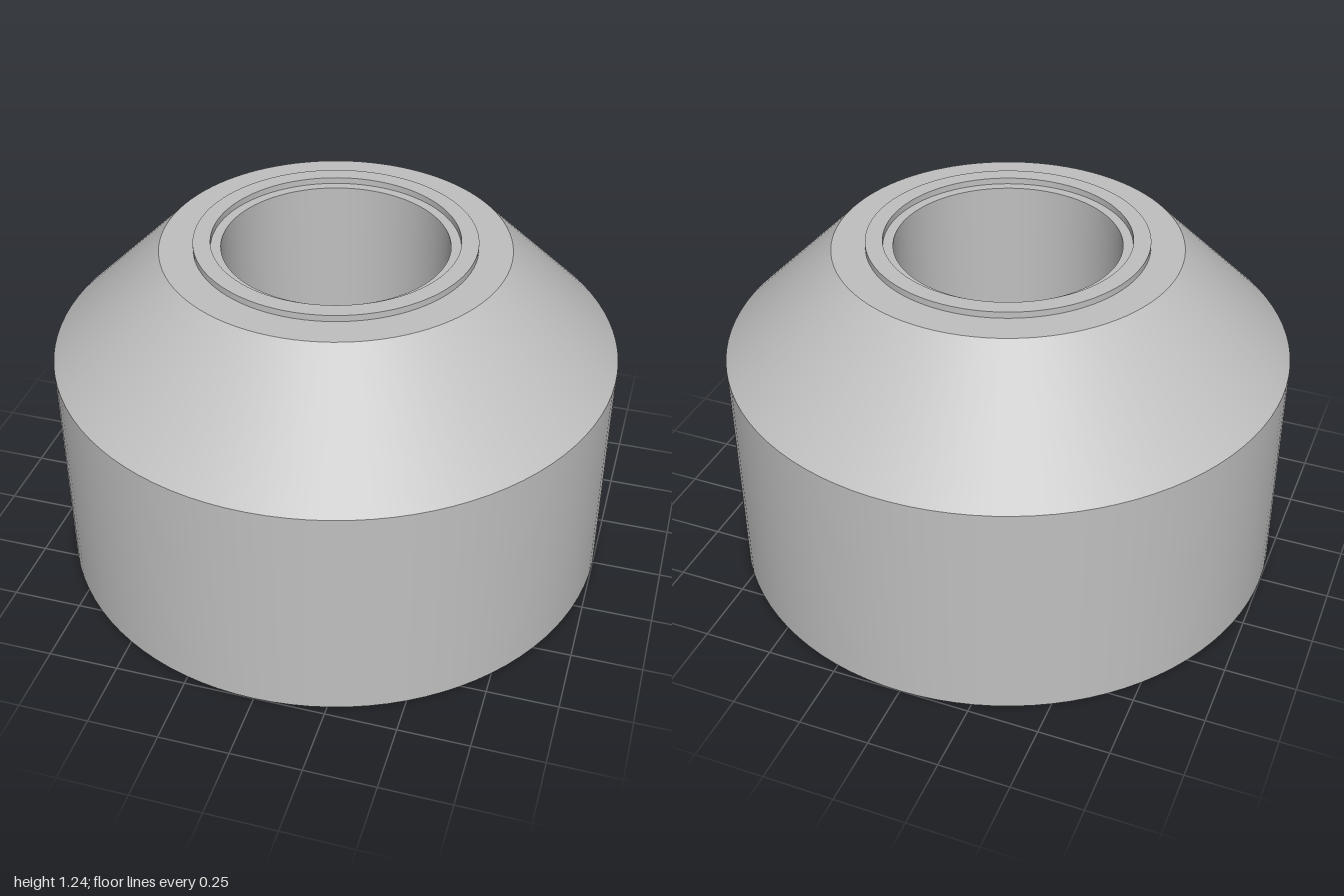
import * as THREE from 'three';
import { mergeGeometries } from 'three/addons/utils/BufferGeometryUtils.js';

const SIDES = 96;

// Revolve each straight stretch of a profile on its own, so corners stay sharp.
function turned(profile, sides) {
  const parts = [];
  for (let i = 0; i < profile.length - 1; i++) {
    const pts = [profile[i], profile[i + 1]].map(([r, y]) => new THREE.Vector2(r, y));
    parts.push(new THREE.LatheGeometry(pts, sides));
  }
  return mergeGeometries(parts);
}

export function createModel() {
  const group = new THREE.Group();
  const grey = new THREE.MeshStandardMaterial({ color: 0xc0c0c0 });
  grey.name = 'plain grey';

  const add = (name, geometry) => {
    const mesh = new THREE.Mesh(geometry, grey);
    mesh.name = name;
    group.add(mesh);
    return mesh;
  };

  const topY = 1.217, lipY = 1.24, boreFloor = 0.42;
  const holeR = 0.197, holeDepth = 0.4, holeCircle = 0.754;

  // Drum, conical shoulder and flat top
  add('body', turned([[1, 0], [1, 0.825], [0.607, topY], [0.49, topY]], SIDES));

  // Thin raised ring and the narrow ledge inside it
  add('raisedLip', turned([[0.49, topY], [0.49, lipY], [0.43, lipY], [0.43, topY], [0.395, topY]], SIDES));

  // Blind bore in the top
  add('bore', turned([[0.395, topY], [0.395, boreFloor], [0, boreFloor]], SIDES));

  // Underside with three round pockets
  const disc = new THREE.Shape().absarc(0, 0, 1, 0, Math.PI * 2);
  for (let i = 0; i < 3; i++) {
    const a = THREE.MathUtils.degToRad(95 + i * 120);
    const x = holeCircle * Math.cos(a), z = holeCircle * Math.sin(a);
    disc.holes.push(new THREE.Path().absarc(x, z, holeR, 0, Math.PI * 2, true));
    const pocket = add('bottomPocket' + (i + 1),
      turned([[0, holeDepth], [holeR, holeDepth], [holeR, 0]], 48));
    pocket.position.set(x, 0, z);
  }
  add('underside', new THREE.ShapeGeometry(disc, SIDES).rotateX(Math.PI / 2));

  return group;
}
